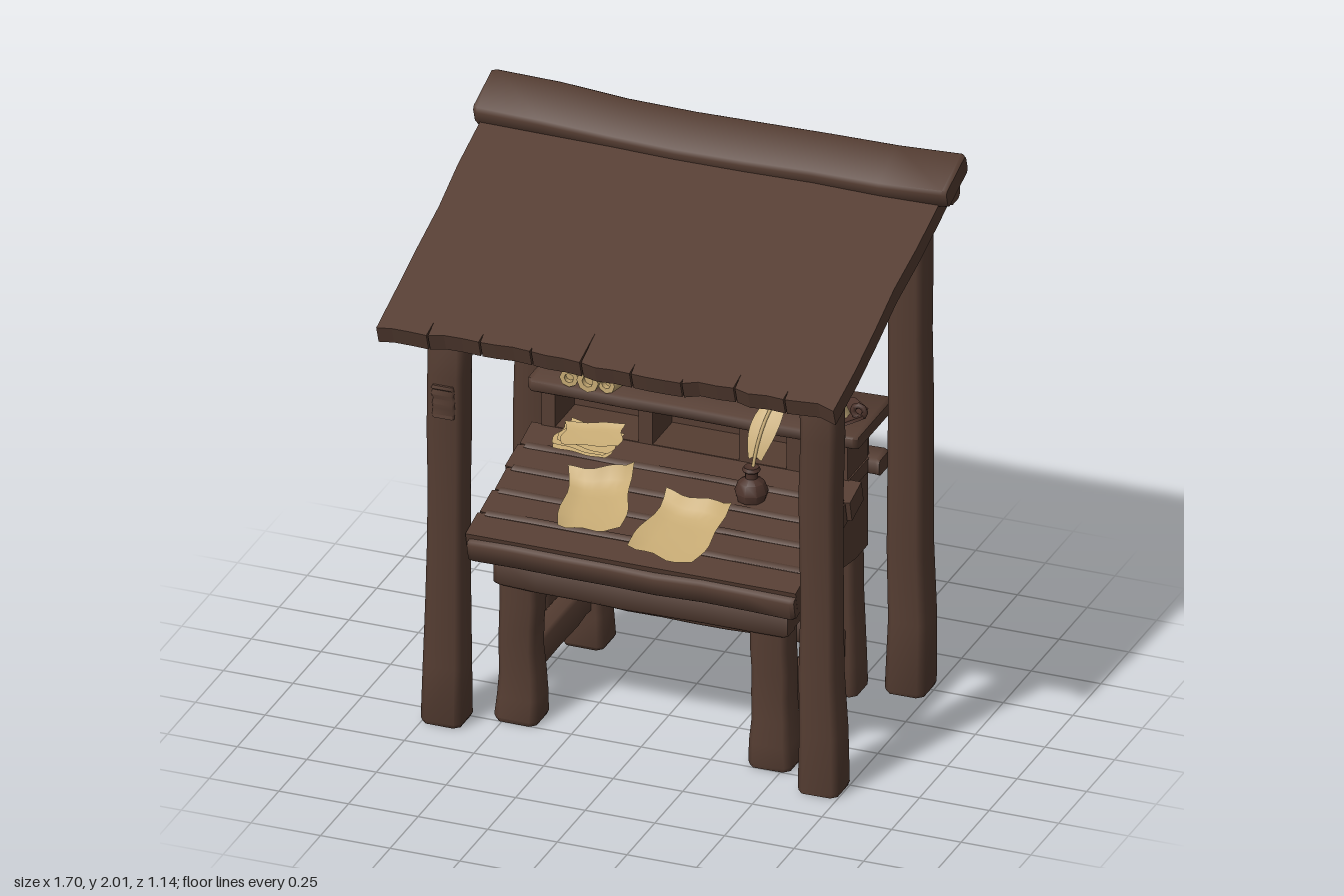
import * as THREE from 'three';
import { toCreasedNormals } from 'three/addons/utils/BufferGeometryUtils.js';

const V = (x, y, z) => new THREE.Vector3(x, y, z);
const SLOPE = 0.26;                      // writing surface
const tableY = z => 0.805 - SLOPE * z;

export function createModel() {
  const root = new THREE.Group();
  root.name = 'writingStall';
  let seed = 7;
  const rand = () => ((seed = (seed * 16807) % 2147483647) / 2147483647) - 0.5;

  const material = (name, color) => {
    const m = new THREE.MeshStandardMaterial({ color, side: THREE.DoubleSide });
    m.name = name;
    return m;
  };
  const wood = material('brown wood', 0x553d32);
  const clay = material('dark clay', 0x4c332b);
  const parchment = material('parchment', 0xc6aa74);
  const wax = material('candle wax', 0xc4ac7c);

  function add(name, geo, mat) {
    const mesh = new THREE.Mesh(geo, mat);
    mesh.name = name;
    root.add(mesh);
    return mesh;
  }

  // Hewn timber from a to b: chamfered section w (along axis u) by h, slightly wobbly
  function timber(name, a, b, w, h, o = {}) {
    const { u = V(1, 0, 0), sag = 0, wob = 0.006, chamfer = 0.15, scale = () => 1 } = o;
    const dir = b.clone().sub(a), len = dir.length(), rings = 7;
    dir.normalize();
    const U = u.clone().addScaledVector(dir, -u.dot(dir)).normalize();
    const W = dir.clone().cross(U);
    const c = Math.min(w, h) * chamfer, x = w / 2, y = h / 2;
    const sec = [[x, -y + c], [x, y - c], [x - c, y], [c - x, y], [-x, y - c], [-x, c - y], [c - x, -y], [x - c, -y]];
    const e = Math.min(0.1, 0.015 / len), ts = [0, e];
    for (let i = 1; i < rings; i++) ts.push(i / rings);
    ts.push(1 - e, 1);
    const pos = [], idx = [], last = ts.length - 1;
    ts.forEach((t, k) => {
      const end = k === 0 || k === last ? 0.93 : 1, s = scale(t) * end;
      const du = rand() * wob, dv = rand() * wob, grow = 1 + rand() * wob * 6;
      sec.forEach(([p, q]) => pos.push(...a.clone().lerp(b, t)
        .addScaledVector(U, p * s * grow + du).addScaledVector(W, q * s * grow + dv)
        .add(V(0, -sag * Math.sin(Math.PI * t), 0))));
    });
    for (let k = 0; k < last; k++) for (let i = 0; i < 8; i++) {
      const p = k * 8 + i, q = k * 8 + (i + 1) % 8;
      idx.push(p, q, q + 8, p, q + 8, p + 8);
    }
    for (let i = 1; i < 7; i++) idx.push(0, i + 1, i, last * 8, last * 8 + i, last * 8 + i + 1);
    const g = new THREE.BufferGeometry();
    g.setAttribute('position', new THREE.Float32BufferAttribute(pos, 3));
    g.setIndex(idx);
    return add(name, toCreasedNormals(g, 0.9), wood);
  }

  // Sloping slab: outline in (x, distance down the slope), hanging below its back top edge
  function slab(name, outline, thick, down, y, z) {
    const shape = new THREE.Shape(outline.map(p => new THREE.Vector2(...p)));
    const g = new THREE.ExtrudeGeometry(shape, { depth: thick, bevelEnabled: false });
    const right = V(1, 0, 0);
    down.normalize();
    g.applyMatrix4(new THREE.Matrix4().makeBasis(right, down, right.clone().cross(down)));
    add(name, g, wood).position.set(0, y, z);
  }

  function box(name, w, h, d, x, y, z) {
    add(name, new THREE.BoxGeometry(w, h, d), wood).position.set(x, y, z);
  }
  function lathe(name, pts, sides, mat, x, y, z) {
    const g = new THREE.LatheGeometry(pts.map(p => new THREE.Vector2(...p)), sides);
    const m = add(name, toCreasedNormals(g, 0.8), mat);
    m.position.set(x, y, z);
    return m;
  }

  // Four posts, rafters and the desk frame, mirrored
  const flare = t => 1 + 0.2 * Math.max(0, 1 - t * 2.2) ** 1.5 + 0.03 * t;
  const Z = V(0, 0, 1);
  for (const s of [-1, 1]) {
    timber('frontPost', V(s * 0.676, 0, 0.3), V(s * 0.667, 1.53, 0.302), 0.124, 0.115, { scale: flare, wob: 0.009 });
    timber('backPost', V(s * 0.676, 0, -0.492), V(s * 0.667, 1.86, -0.497), 0.124, 0.128, { scale: flare, wob: 0.009 });
    timber('rafter', V(s * 0.67, 1.505, 0.44), V(s * 0.67, 1.845, -0.55), 0.13, 0.085);
    for (const [z, top] of [[0.185, 0.62], [-0.41, 0.83]])
      timber('deskLeg', V(s * 0.455, 0, z), V(s * 0.45, top, z), 0.13, 0.118, { scale: flare });
    timber('sideStretcher', V(s * 0.455, 0.197, 0.15), V(s * 0.455, 0.197, -0.38), 0.075, 0.115);
    // Side panel with a shallow arch and a sloping top
    const p = [[0.25, 0.52], [0.25, 0.7], [-0.25, 0.83], [-0.46, 0.83], [-0.46, 0.52], [-0.35, 0.52], [-0.2, 0.545], [-0.05, 0.545], [0.12, 0.525]];
    const g = new THREE.ExtrudeGeometry(new THREE.Shape(p.map(([z, y]) => new THREE.Vector2(-z, y))), { depth: 0.06, bevelEnabled: false });
    g.rotateY(Math.PI / 2);
    add('deskSide', g, wood).position.x = s * 0.5 - 0.03;
  }
  timber('postKnot', V(-0.665, 1.16, 0.352), V(-0.665, 1.28, 0.352), 0.08, 0.04);
  timber('backStretcher', V(-0.42, 0.205, -0.41), V(0.42, 0.205, -0.41), 0.07, 0.11, { u: Z });
  timber('frontApron', V(-0.525, 0.57, 0.225), V(0.53, 0.57, 0.225), 0.08, 0.12, { u: Z, sag: 0.005 });
  box('deskBack', 0.98, 0.31, 0.04, 0, 0.685, -0.445);
  timber('backRail', V(-0.59, 0.838, -0.46), V(0.59, 0.838, -0.46), 0.1, 0.06, { u: Z });

  // Sloping writing surface with ragged, split board ends
  const tableL = 0.6, rows = 5, rowL = tableL / rows;
  const edge = (x, dir) => {
    const pts = [];
    for (let i = 0; i < rows; i++) {
      const end = x + rand() * 0.018;
      if (i) pts.push([dir * (x - 0.025), i * rowL]);
      pts.push([dir * end, i * rowL + 0.004], [dir * (end + rand() * 0.006), (i + 1) * rowL - 0.004]);
    }
    return pts;
  };
  slab('tableTop', [...edge(0.586, 1), ...edge(0.592, -1).reverse()], 0.078, V(0, -SLOPE, 1), tableY(-0.25), -0.25);
  for (let i = 1; i < rows; i++) {
    const z = -0.25 + i * 0.116;
    timber('boardRidge', V(-0.57, tableY(z) - 0.001, z), V(0.57, tableY(z) - 0.001, z), 0.03, 0.008, { u: V(0, -SLOPE, 1), wob: 0.002 });
  }
  timber('tableNosing', V(-0.59, 0.664, 0.31), V(0.585, 0.664, 0.31), 0.06, 0.083, { u: V(0, -SLOPE, 1) });

  // Pigeonhole shelf
  timber('shelfTop', V(-0.595, 1.024, -0.375), V(0.59, 1.024, -0.375), 0.33, 0.045, { u: Z, wob: 0.004 });
  box('shelfBack', 1.08, 0.16, 0.03, 0, 0.93, -0.43);
  box('shelfFloor', 1.1, 0.05, 0.2, 0, 0.845, -0.34);
  for (const x of [-0.53, -0.18, 0.18, 0.35, 0.52]) box('shelfDivider', 0.05, 0.17, 0.18, x, 0.93, -0.33);

  // Roof sheet: ragged front edge with a few splits, slightly wavy sides
  const outline = [], roofL = 1.18;
  for (let i = 0; i <= 6; i++) outline.push([0.82 + rand() * 0.012, roofL * i / 6]);
  const ends = 9, pw = 1.645 / ends;
  for (let i = 0; i < ends; i++) {
    const x = 0.82 - pw * i, end = roofL - 0.01 + rand() * 0.024;
    if (i) outline.push([x + 0.003, end], [x, end - (i === 5 ? 0.15 : 0.02 + (i % 3) * 0.025)], [x - 0.003, end]);
    outline.push([x - pw * 0.35, end + rand() * 0.01], [x - pw * 0.7, end + rand() * 0.01]);
  }
  for (let i = 6; i >= 0; i--) outline.push([-0.825 + rand() * 0.012, roofL * i / 6]);
  slab('roofSheet', outline, 0.066, V(0, -0.383, 1.115), 1.948, -0.545);
  timber('ridgeBoard', V(-0.85, 1.94, -0.462), V(0.85, 1.94, -0.462), 0.205, 0.076,
    { u: V(0, -0.34, 1), sag: 0.02, wob: 0.008 });
  timber('backBeam', V(-0.82, 1.882, -0.522), V(0.82, 1.882, -0.522), 0.085, 0.11, { u: Z, sag: 0.018 });

  // Curled parchment sheets lying on the writing surface
  function sheet(w, d, x, z, turn, curl, lift = 0.008) {
    const g = new THREE.PlaneGeometry(w, d, 8, 8).rotateX(-Math.PI / 2), p = g.attributes.position;
    for (let i = 0; i < p.count; i++) {
      const a = p.getX(i) / w * 2, b = p.getZ(i) / d * 2;
      p.setX(i, p.getX(i) * (1 + 0.07 * Math.sin(b * 4)));
      p.setZ(i, p.getZ(i) * (1 + 0.06 * Math.sin(a * 5)));
      p.setY(i, curl * (0.4 * a ** 4 + (b < 0 ? 1.2 : 0.1) * b ** 4) * (1 - 0.3 * a * b));
    }
    g.rotateY(turn).rotateX(Math.atan(SLOPE));
    g.computeVertexNormals();
    add('parchmentSheet', g, parchment).position.set(x, tableY(z) + lift, z);
  }
  sheet(0.22, 0.27, -0.225, 0.09, 0.2, 0.04);
  sheet(0.25, 0.28, 0.1, 0.15, -0.14, 0.034);
  for (let i = 0; i < 4; i++) sheet(0.2, 0.11, -0.36 + rand() * 0.03, -0.18, rand() * 0.5, 0.006, 0.01 + i * 0.012);

  // Rolled scrolls stacked on the shelf, with hollow ends
  const scrolls = [[-0.455, 1.082, -0.35, 0.3, 0.033, 0.1], [-0.36, 1.087, -0.38, 0.38, 0.04, -0.05],
    [-0.265, 1.083, -0.38, 0.36, 0.036, -0.25], [-0.325, 1.136, -0.36, 0.36, 0.037, 0.2]];
  for (const [x, y, z, l, r, turn] of scrolls) {
    const h = l / 2, q = r * 0.5;
    const m = lathe('scroll', [[0, 0.02 - h], [q, 0.02 - h], [q, -h], [r, -h], [r * 0.93, 0], [r, h], [q, h], [q, h - 0.02], [0, h - 0.02]],
      8, parchment, x, y, z);
    m.rotation.set(Math.PI / 2, 0, -turn);
  }

  // Candle on a dish with a ring handle
  lathe('candleDish', [[0, 0], [0.07, 0], [0.118, 0.026], [0.11, 0.034], [0.065, 0.014], [0, 0.014]], 9, clay, 0.46, 1.046, -0.325);
  const ring = add('dishHandle', new THREE.TorusGeometry(0.022, 0.011, 6, 8), clay);
  ring.position.set(0.552, 1.088, -0.325);
  lathe('candle', [[0, 0], [0.06, 0], [0.047, 0.03], [0.044, 0.1], [0.049, 0.19], [0.042, 0.203], [0, 0.195]], 10, wax, 0.455, 1.056, -0.335);

  // Ink bottle
  lathe('inkBottle', [[0, 0], [0.05, 0], [0.058, 0.03], [0.045, 0.065], [0.022, 0.08], [0.022, 0.1], [0.032, 0.108], [0.026, 0.12], [0, 0.11]],
    9, clay, 0.262, 0.82, -0.085);

  // Quill: bent shaft with a broad vane
  const bend = new THREE.QuadraticBezierCurve3(V(0.262, 0.88, -0.085), V(0.26, 1.05, -0.125), V(0.3, 1.145, -0.225));
  add('quillShaft', new THREE.TubeGeometry(bend, 10, 0.006, 5), parchment);
  const vane = new THREE.PlaneGeometry(1, 1, 2, 10), vp = vane.attributes.position;
  for (let i = 0; i < vp.count; i++) {
    const t = vp.getY(i) + 0.5, c = bend.getPoint(0.27 + 0.73 * t);
    const half = 0.014 + 0.036 * Math.sin(Math.PI * Math.min(1, 0.08 + t * 0.75));
    vp.setXYZ(i, c.x + vp.getX(i) * 2 * half, c.y - Math.abs(vp.getX(i)) * 0.03, c.z);
  }
  vane.computeVertexNormals();
  add('quillVane', vane, parchment);

  return root;
}
